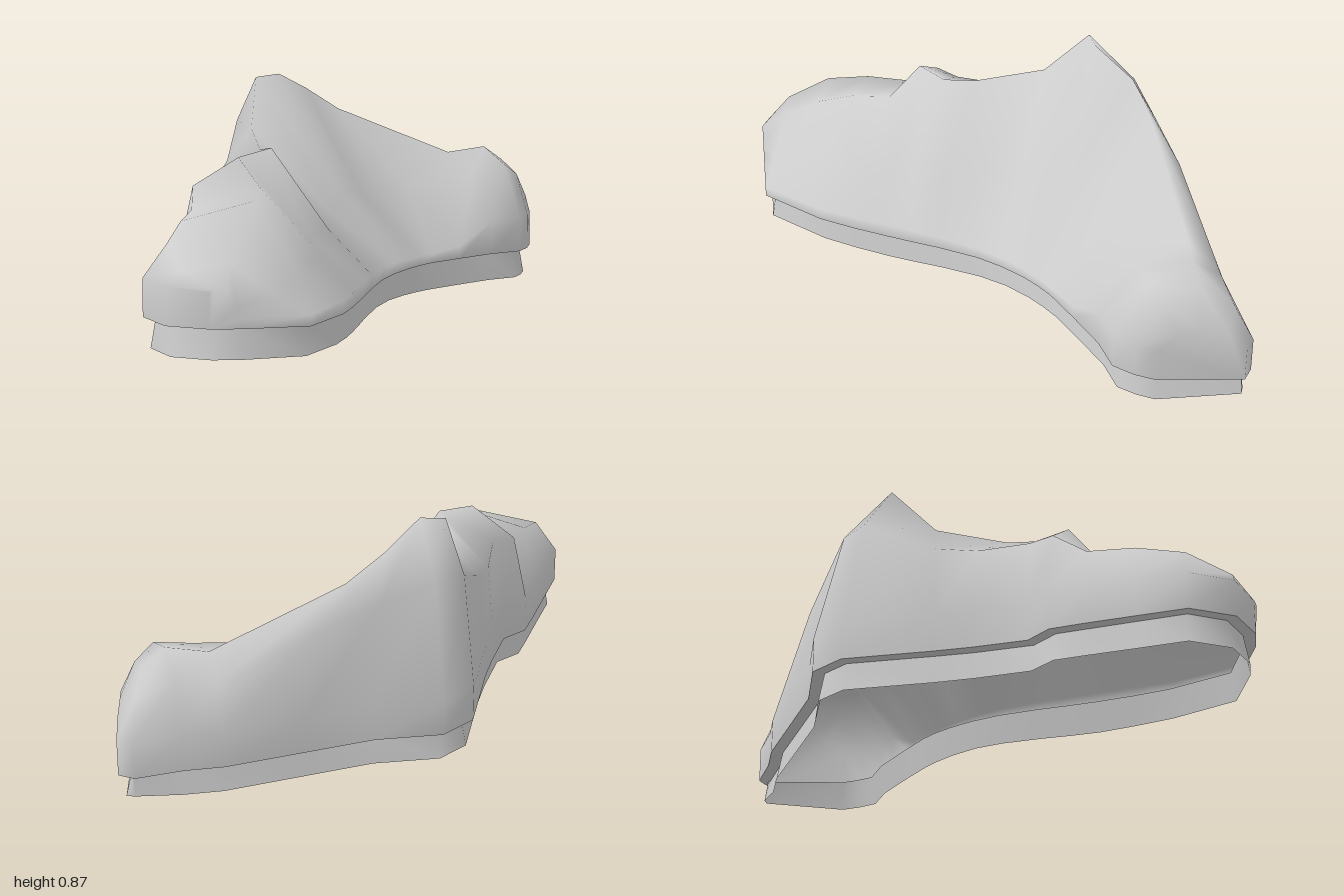
import * as THREE from 'three';

const { lerp, smoothstep } = THREE.MathUtils;

// Stations from toe to arm end: outer foot x,z | ridge x,y,z | inner foot x,z
const STATIONS = [
  [-0.53, 0.985, -0.47, 0.27, 0.995, -0.42, 0.985],
  [-0.68, 0.92, -0.46, 0.34, 0.9, -0.19, 0.93],
  [-0.76, 0.76, -0.42, 0.44, 0.75, -0.07, 0.69],
  [-0.72, 0.58, -0.37, 0.51, 0.6, -0.03, 0.55],
  [-0.68, 0.4, -0.35, 0.53, 0.45, 0, 0.42],
  [-0.65, 0.28, -0.43, 0.63, 0.34, 0.03, 0.31],
  [-0.57, 0.2, -0.31, 0.65, 0.23, 0.06, 0.2],
  [-0.53, 0, -0.35, 0.63, 0.11, 0.11, 0.05],
  [-0.51, -0.14, -0.38, 0.68, -0.15, 0.16, -0.05],
  [-0.48, -0.47, -0.36, 0.86, -0.32, 0.22, -0.14],
  [-0.38, -0.59, -0.27, 0.87, -0.35, 0.27, -0.2],
  [-0.14, -0.65, -0.16, 0.8, -0.5, 0.32, -0.25],
  [0.1, -0.765, -0.03, 0.71, -0.58, 0.44, -0.345],
  [0.36, -0.89, 0.43, 0.51, -0.75, 0.58, -0.45],
  [0.5, -0.93, 0.58, 0.53, -0.77, 0.7, -0.51],
  [0.66, -1, 0.66, 0.47, -0.81, 0.74, -0.59],
  [0.72, -0.98, 0.735, 0.35, -0.82, 0.76, -0.67],
];

// Edge heights, lowest at the inner side of the forefoot
const rimY = (x, z) => 0.115 + 0.02 * Math.min(1, Math.hypot(x, z - 0.4) / 0.7);
const footY = (x, z) =>
  0.025 * Math.min(1, Math.hypot(x, z - 0.4) / 0.5) + 0.03 * smoothstep(-z, 0.9, 1);

// Wall from the foot up to a shoulder on the way to the ridge
function flank(x, z, [rx, ry, rz], wall, inward, rise) {
  const w = Math.min(wall, ry - 0.01);
  return [
    [x, rimY(x, z), z],
    [x, w, z],
    [lerp(x, rx, inward), lerp(w, ry, rise), lerp(z, rz, inward)],
  ];
}

// Cross-section: full outer side, inner side hollowed except along the arm
function section([ox, oz, rx, ry, rz, ix, iz]) {
  const ridge = [rx, ry, rz];
  const bend = smoothstep(rz, -0.3, 0) * (1 - smoothstep(rz, 0.12, 0.3));
  const arm = smoothstep(rx, -0.2, 0.5);
  const toe = smoothstep(rz, -0.3, 0.3);
  const outer = flank(ox, oz, ridge, 0.27, lerp(0.38, 0.25, toe) - 0.15 * bend, 0.7);
  const inner = flank(ix, iz, ridge, lerp(0.17, 0.27, arm), 0.43, lerp(0.36, 0.78, arm));
  return [...outer, ridge, ...inner.reverse()];
}

// Joins rows of points into a smooth skin; open rows get their ends capped
function skin(rows, closed) {
  const n = rows[0].length, index = [];
  const last = (rows.length - 1) * n;
  for (let s = 0; s < last; s += n) {
    for (let k = 0; k < (closed ? n : n - 1); k++) {
      const a = s + k, b = s + (k + 1) % n;
      index.push(a, b, a + n, b, b + n, a + n);
    }
  }
  for (let k = 1; !closed && k < n - 1; k++) {
    index.push(0, k + 1, k, last, last + k, last + k + 1);
  }
  const g = new THREE.BufferGeometry();
  g.setAttribute('position', new THREE.Float32BufferAttribute(rows.flat(2), 3));
  g.setIndex(index);
  g.computeVertexNormals();
  return g;
}

// Ring following the footprint, moved inward by d
function ring(outline, d, height) {
  const n = outline.length;
  return outline.map(([x, z], k) => {
    const p = outline[(k + n - 1) % n], q = outline[(k + 1) % n];
    const dx = q[0] - p[0], dz = q[1] - p[1], scale = d / Math.hypot(dx, dz);
    const nx = x + dz * scale, nz = z - dx * scale;
    return [nx, height(nx, nz), nz];
  });
}

export function createModel() {
  const group = new THREE.Group();
  const material = new THREE.MeshStandardMaterial({ color: 0xcccccc, side: THREE.DoubleSide });
  const add = (name, geometry) => {
    const mesh = new THREE.Mesh(geometry, material);
    mesh.name = name;
    group.add(mesh);
  };

  // Bent body with a ridge, open underneath
  add('body', skin(STATIONS.map(section), false));

  // Footprint: outer side from arm to toe, then inner side back to the arm
  const outline = [
    ...STATIONS.map((s) => s.slice(0, 2)).reverse(),
    ...STATIONS.map((s) => s.slice(5)),
  ];
  const rim = ring(outline, 0, rimY);
  const top = ring(outline, 0.045, rimY);
  const foot = ring(outline, 0.025, footY);

  // Narrow lip under the body and the flared, open base band
  add('lip', skin([top, rim], true));
  add('baseBand', skin([foot, top], true));
  return group;
}
